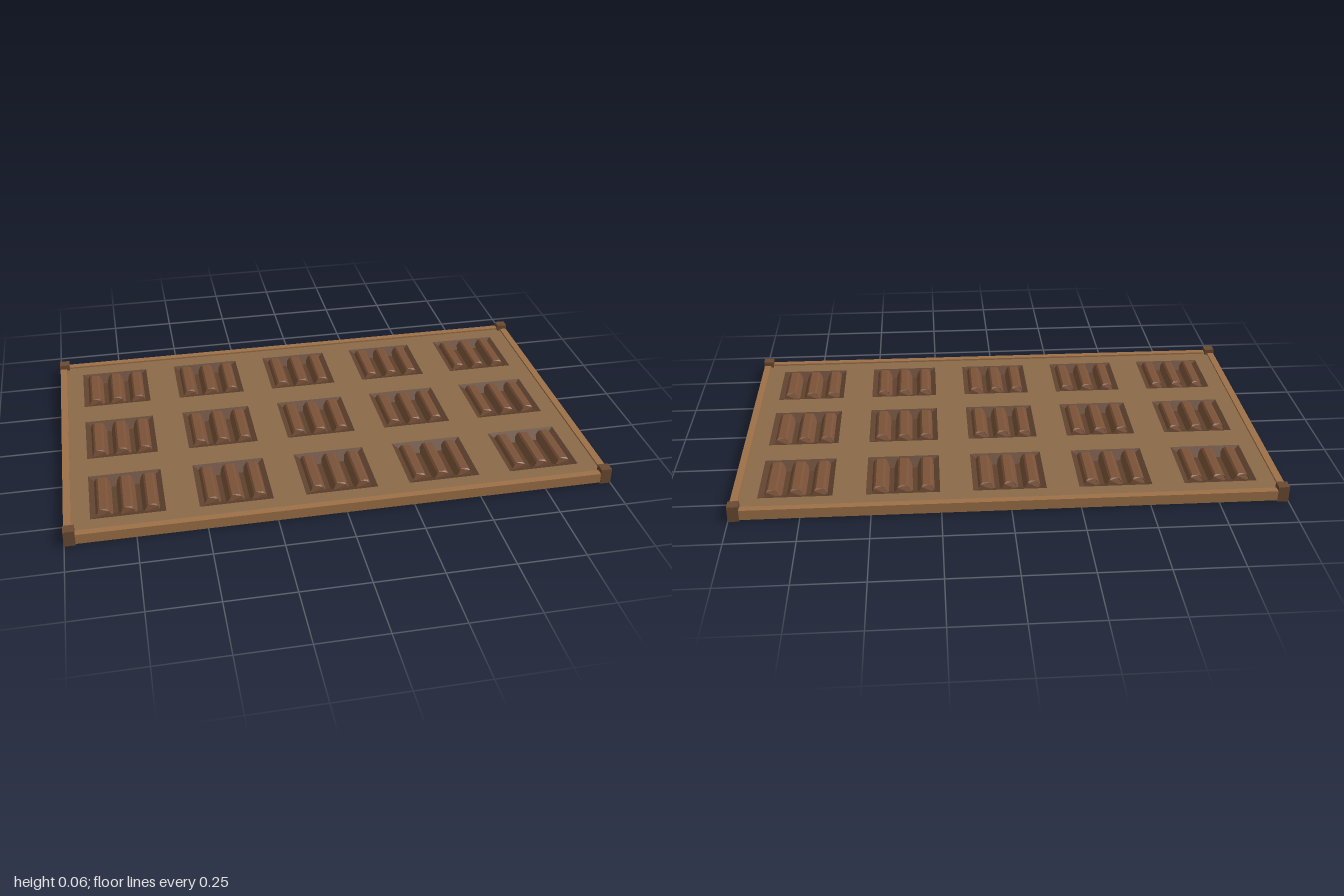
import * as THREE from 'three';

const mat = (color, side = THREE.FrontSide) =>
  new THREE.MeshStandardMaterial({ color, side, flatShading: true });

export function createModel() {
  const model = new THREE.Group();
  const panelMat = mat(0x8b6b4a), rimMat = mat(0x9c7048), postMat = mat(0x6b4a32);
  const pitMat = mat(0x5e412e), wallMat = mat(0x5e412e, THREE.BackSide), barMat = mat(0x7a5238);
  const add = (name, geometry, material, x, y, z, parent = model) => {
    const mesh = new THREE.Mesh(geometry, material);
    mesh.name = name;
    mesh.position.set(x, y, z);
    parent.add(mesh);
    return mesh;
  };

  const W = 0.993, D = 0.607, PITCH = 0.386;
  const TOP = 0.036, FLOOR = 0.015, OPEN = 0.267, INNER = 0.165;
  const centres = [];
  for (let r = -1; r <= 1; r++) for (let c = -2; c <= 2; c++) centres.push([c * PITCH, r * PITCH]);

  // Panel with a square opening for each compartment
  const outline = new THREE.Shape([[-W, -D], [W, -D], [W, D], [-W, D]].map(p => new THREE.Vector2(...p)));
  const h = OPEN / 2;
  for (const [x, z] of centres) {
    outline.holes.push(new THREE.Path([
      [x - h, z - h], [x - h, z + h], [x + h, z + h], [x + h, z - h],
    ].map(p => new THREE.Vector2(...p))));
  }
  const panelGeo = new THREE.ExtrudeGeometry(outline, { depth: TOP - FLOOR, bevelEnabled: false });
  panelGeo.rotateX(-Math.PI / 2);
  add('panel', panelGeo, panelMat, 0, FLOOR, 0);
  add('bottomBoard', new THREE.BoxGeometry(2 * W, FLOOR - 0.005, 2 * D), pitMat, 0, (FLOOR + 0.005) / 2, 0);

  // Sloping walls of one compartment
  const wallGeo = new THREE.CylinderGeometry(OPEN / Math.SQRT2, INNER / Math.SQRT2, TOP - FLOOR, 4, 1, true);
  wallGeo.rotateY(Math.PI / 4);

  // Bar with chamfered long edges and sloped ends
  const profile = new THREE.Shape([
    [-0.034, 0], [0.034, 0], [0.02, 0.027], [0.013, 0.033], [-0.013, 0.033], [-0.02, 0.027],
  ].map(p => new THREE.Vector2(...p)));
  const barGeo = new THREE.ExtrudeGeometry(profile, { depth: 0.212, bevelEnabled: false });
  barGeo.translate(0, 0, -0.106);
  const p = barGeo.attributes.position;
  for (let i = 0; i < p.count; i++) {
    if (p.getY(i) > 0.03) p.setZ(i, p.getZ(i) * 0.93);
  }
  barGeo.computeVertexNormals();

  for (const [x, z] of centres) {
    const cell = new THREE.Group();
    cell.name = 'compartment';
    cell.position.set(x, 0, z);
    model.add(cell);
    add('compartmentWalls', wallGeo, wallMat, 0, (TOP + FLOOR) / 2, 0, cell);
    for (const dx of [-0.086, 0, 0.086]) add('bar', barGeo, barMat, dx, FLOOR, 0, cell);
  }

  // Rim rails and corner posts
  for (const s of [-1, 1]) {
    add('longRail', new THREE.BoxGeometry(1.94, 0.038, 0.027), rimMat, 0, 0.024, s * 0.597);
    add('shortRail', new THREE.BoxGeometry(0.027, 0.038, 1.16), rimMat, s * 0.985, 0.024, 0);
    for (const t of [-1, 1]) {
      add('cornerPost', new THREE.BoxGeometry(0.04, 0.06, 0.04), postMat, s * 0.98, 0.03, t * 0.592);
    }
  }
  return model;
}
